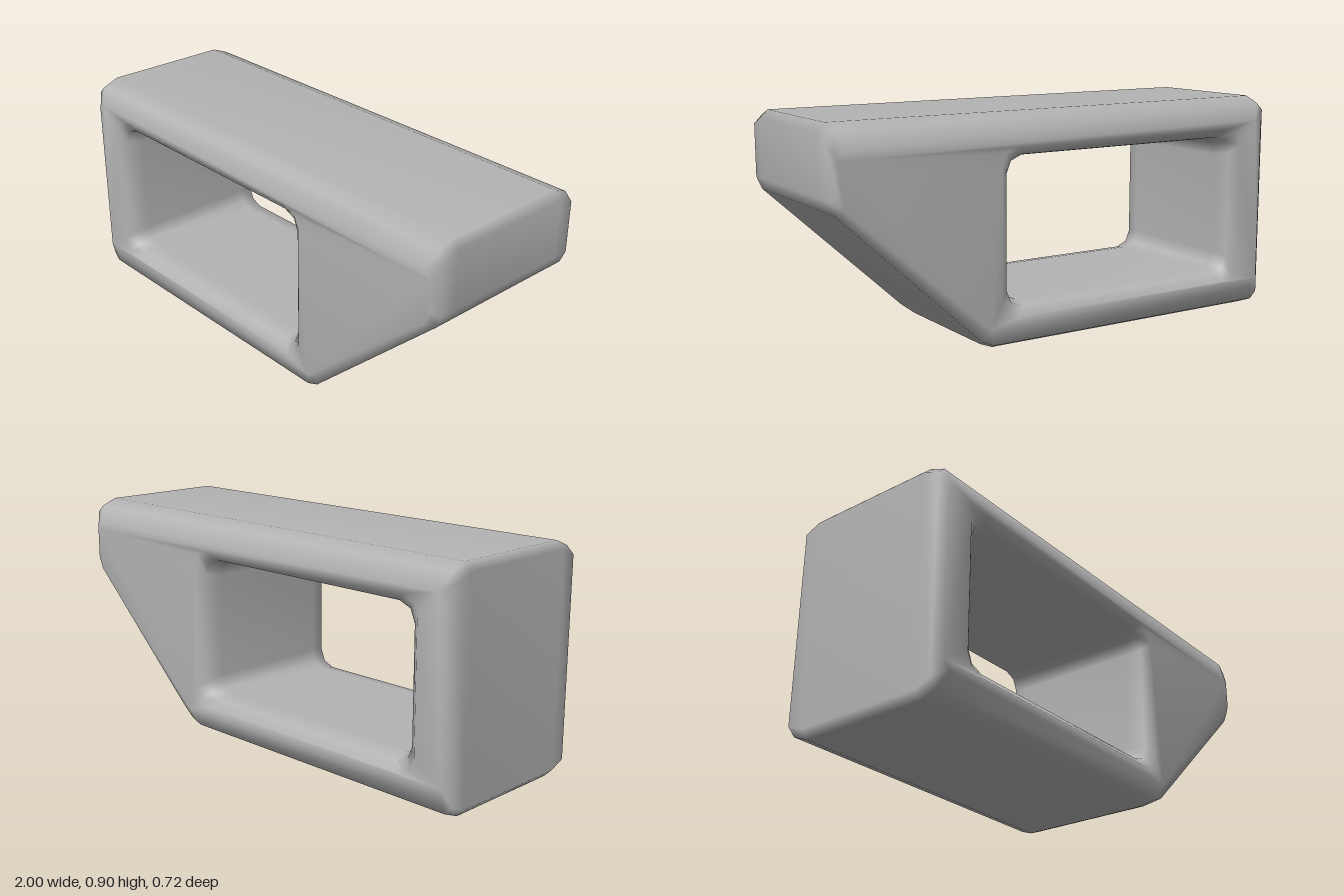
import * as THREE from 'three';

// Move every edge of a loop towards the solid by its own inset, then cut each corner.
// The solid lies to the left of the loop's direction.
function loopPoints(corners, insets, cut, rounded) {
  const n = corners.length;
  const lines = corners.map(([x, y], i) => {
    const [x2, y2] = corners[(i + 1) % n];
    const d = new THREE.Vector2(x2 - x, y2 - y).normalize();
    const normal = new THREE.Vector2(-d.y, d.x);
    return { d, normal, c: normal.x * x + normal.y * y + insets[i] };
  });
  const out = [];
  lines.forEach((line, i) => {
    const prev = lines[(i + n - 1) % n];
    const a = prev.normal, b = line.normal;
    const det = a.x * b.y - a.y * b.x;
    const p = new THREE.Vector2(
      (prev.c * b.y - line.c * a.y) / det,
      (a.x * line.c - b.x * prev.c) / det
    );
    const start = p.clone().addScaledVector(prev.d, -cut);
    const end = p.clone().addScaledVector(line.d, cut);
    out.push(start);
    if (rounded) out.push(start.clone().add(end).multiplyScalar(0.293).addScaledVector(p, 0.414));
    out.push(end);
  });
  return out;
}

export function createModel() {
  const group = new THREE.Group();
  const grey = new THREE.MeshStandardMaterial({ color: 0xb4b4b4 });
  grey.name = 'grey';

  // Outline: bottom, slanted underside, nose, top, rear end
  const outline = [[-1, 0], [0.338, 0], [1, 0.613], [1, 0.905], [-1, 0.905]];
  // Opening, running the other way round
  const opening = [[-0.805, 0.175], [-0.805, 0.735], [0.27, 0.735], [0.27, 0.175]];

  // Rounded long edges: z, inset of top and bottom, inset of ends, widening of the opening
  const half = [
    [0.36, 0.095, 0.03, 0.045],
    [0.332, 0.027, 0, 0.012],
    [0.265, 0, 0, 0],
  ];
  const layers = [...half, ...half.map(([z, ...r]) => [-z, ...r]).reverse()];

  const positions = [], index = [];
  let outer, inner;
  for (const [z, flat, end, hole] of layers) {
    outer = loopPoints(outline, [flat, end, end, flat, end], 0.03, false);
    inner = loopPoints(opening, [hole, hole, hole, hole], 0.07, true);
    for (const p of [...outer, ...inner]) positions.push(p.x, p.y, z);
  }

  // Walls of the outline and of the opening
  const count = outer.length + inner.length;
  for (let k = 0; k < layers.length - 1; k++) {
    for (const [first, size] of [[0, outer.length], [outer.length, inner.length]]) {
      for (let i = 0; i < size; i++) {
        const a = k * count + first + i;
        const b = k * count + first + (i + 1) % size;
        index.push(a, a + count, b, b, a + count, b + count);
      }
    }
  }

  // Front and back faces
  const back = (layers.length - 1) * count;
  for (const [a, b, c] of THREE.ShapeUtils.triangulateShape(outer, [inner])) {
    index.push(a, b, c, back + a, back + c, back + b);
  }

  const geometry = new THREE.BufferGeometry();
  geometry.setAttribute('position', new THREE.Float32BufferAttribute(positions, 3));
  geometry.setIndex(index);
  geometry.computeVertexNormals();

  const body = new THREE.Mesh(geometry, grey);
  body.name = 'hollowBody';
  group.add(body);
  return group;
}
